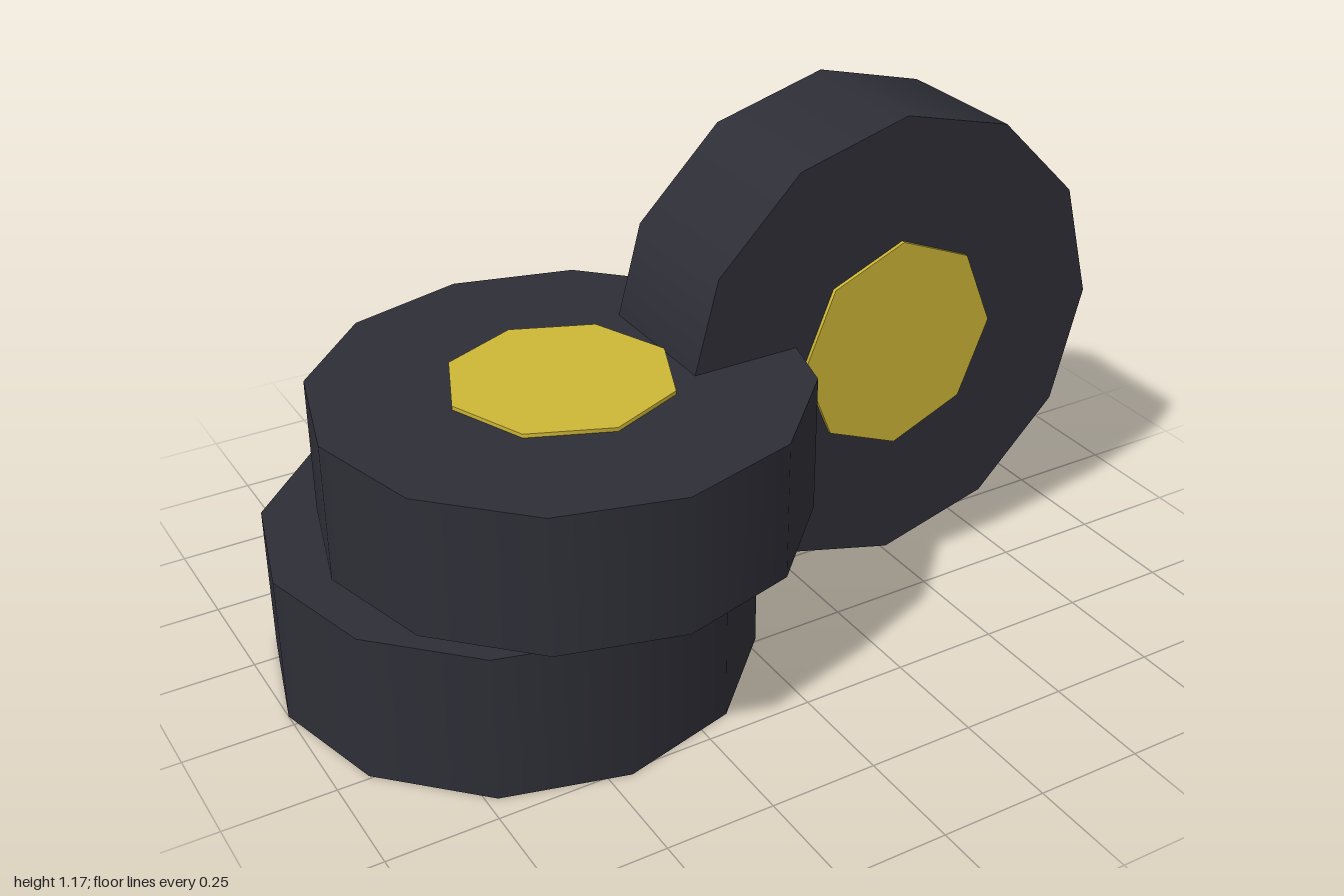
import * as THREE from 'three';

const RADIUS = 0.55, HUB_RADIUS = 0.255, HUB_RISE = 0.009;

export function createModel() {
  const rubber = new THREE.MeshStandardMaterial({ color: 0x2e2e37 });
  rubber.name = 'dark rubber';
  const yellow = new THREE.MeshStandardMaterial({ color: 0xcdb636 });
  yellow.name = 'yellow hub';

  // A twelve-sided tyre along y, with an eight-sided hub plate on the listed sides
  function makeWheel(name, thickness, hubSides) {
    const wheel = new THREE.Group();
    wheel.name = name;
    const tyre = new THREE.Mesh(new THREE.CylinderGeometry(RADIUS, RADIUS, thickness, 12), rubber);
    tyre.name = 'tyre';
    wheel.add(tyre);
    for (const side of hubSides) {
      const hub = new THREE.Mesh(new THREE.CylinderGeometry(HUB_RADIUS, HUB_RADIUS, HUB_RISE, 8), yellow);
      hub.name = 'hub';
      hub.position.y = side * (thickness + HUB_RISE) / 2;
      wheel.add(hub);
    }
    return wheel;
  }

  const model = new THREE.Group();
  model.name = 'wheelPile';

  // Two wheels lying flat, slightly offset
  const lower = makeWheel('lowerWheel', 0.35, [1]);
  lower.position.set(-0.45, 0.175, -0.033);
  const upper = makeWheel('upperWheel', 0.323, [1]);
  upper.position.set(-0.343, 0.5195, 0.03);

  // One wheel standing on edge against the stack
  const standing = makeWheel('standingWheel', 0.34, [-1, 1]);
  standing.rotation.x = Math.PI / 2;
  standing.position.set(0.447, 0.62, -0.01);

  model.add(lower, upper, standing);
  return model;
}
